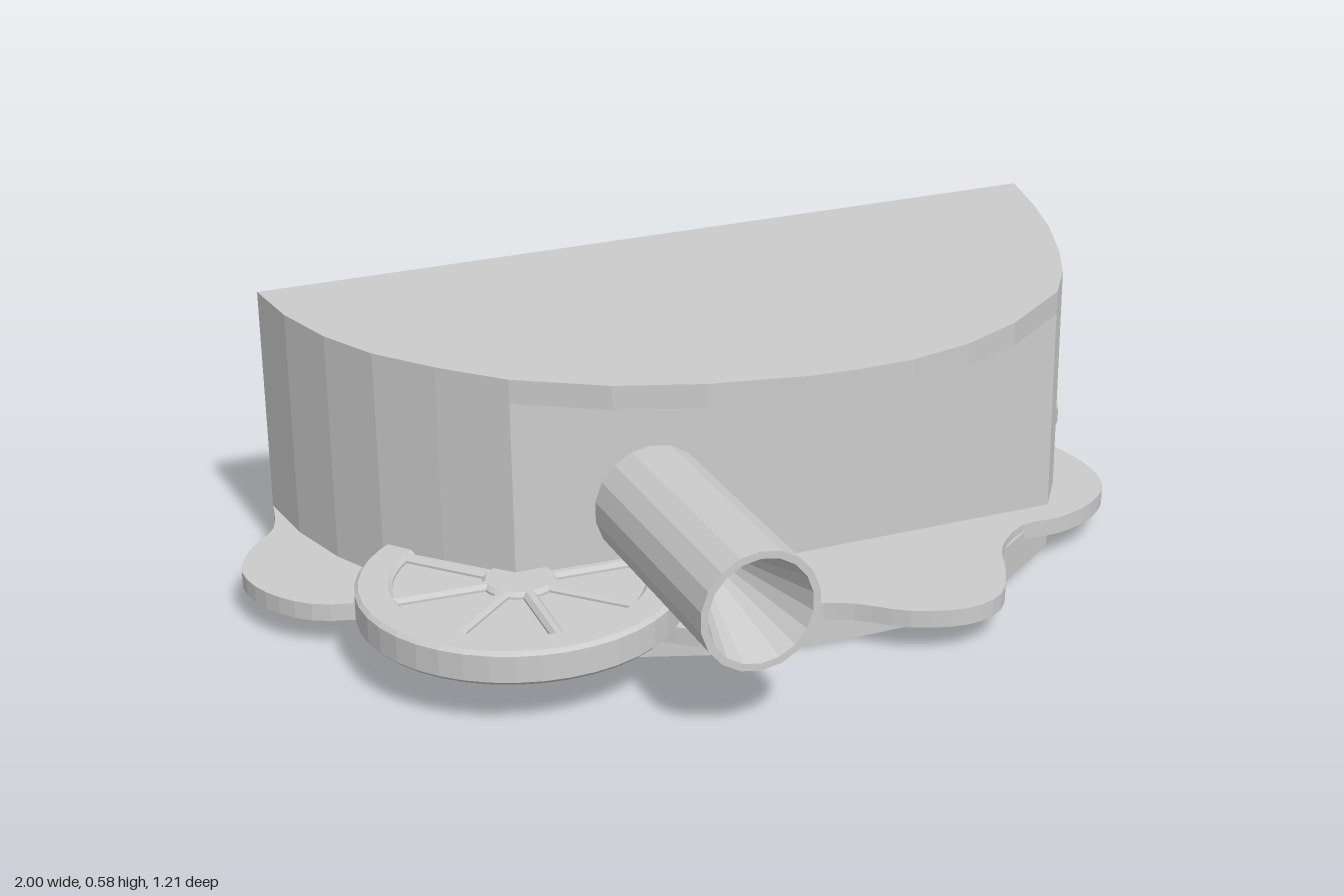
import * as THREE from 'three';

const mat = new THREE.MeshStandardMaterial({ color: 0xcccccc, flatShading: true });

// Plan outlines are [x, z] pairs; slabs are extruded upwards from y0 to y1
const toShape = (pts) => new THREE.Shape(pts.map(([x, z]) => new THREE.Vector2(x, -z)));

function slab(name, shape, y0, y1) {
  const geo = new THREE.ExtrudeGeometry(shape, { depth: y1 - y0, bevelEnabled: false, curveSegments: 8 });
  geo.rotateX(-Math.PI / 2).translate(0, y0, 0);
  const mesh = new THREE.Mesh(geo, mat);
  mesh.name = name;
  return mesh;
}

const BACK = -0.605, FACE = 0.07;

// Bowed front of the half-round body, from the -x end to the +x end
const leftArc = [[-0.855, BACK], [-0.84, -0.45], [-0.8, -0.3], [-0.74, -0.17], [-0.65, -0.05], [-0.54, FACE]];
const frontArc = [[-0.37, 0.18], [-0.2, 0.245], [0, 0.288], [0.1, 0.295], [0.22, 0.293], [0.36, 0.26], [0.5, 0.195]];
const rightArc = [[0.67, FACE], [0.74, -0.03], [0.8, -0.15], [0.86, -0.3], [0.905, -0.45], [0.94, BACK]];
const fullPlan = [...leftArc, ...frontArc, ...rightArc];

// Rectangular notch cut into the underside at the back edge
const notch = [[-0.32, BACK], [-0.32, -0.385], [-0.56, -0.385], [-0.56, BACK]];

function createBody() {
  const body = new THREE.Group();
  body.name = 'body';
  body.add(
    slab('notchedBase', toShape([...fullPlan, ...notch]), 0, 0.04),
    slab('base', toShape(fullPlan), 0.04, 0.08),
    slab('recessedCore', toShape([...leftArc, ...rightArc]), 0.08, 0.535),
    slab('roof', toShape(fullPlan), 0.535, 0.585),
  );
  return body;
}

// Thin leaf with a wavy edge that pokes out around the base
function createLeaf() {
  const edge = [
    [-0.855, BACK], [-0.885, -0.49], [-0.955, -0.41], [-1, -0.31], [-0.98, -0.2], [-0.91, -0.11],
    [-0.8, -0.07], [-0.68, -0.04], [-0.54, 0.08], [-0.37, 0.2], [-0.25, 0.31], [-0.16, 0.35], [-0.08, 0.31],
    [0, 0.295], [0.08, 0.33], [0.17, 0.405], [0.28, 0.44], [0.37, 0.41], [0.43, 0.32], [0.48, 0.215],
    [0.57, 0.14], [0.66, 0.138], [0.76, 0.1], [0.835, 0.02], [0.855, -0.1], [0.84, -0.24],
    [0.895, -0.33], [0.965, -0.4], [1, -0.5], [0.985, -0.56], [0.94, BACK],
  ];
  const curve = new THREE.SplineCurve(edge.map(([x, z]) => new THREE.Vector2(x, -z)));
  return slab('wavyLeaf', new THREE.Shape(curve.getPoints(90)), 0.06, 0.097);
}

// Round slice: rim and spokes around sunken wedge panels
function createSlice() {
  const R = 0.325, count = 8, pitch = (Math.PI * 2) / count;
  const shape = new THREE.Shape();
  shape.absarc(0, 0, R, 0, Math.PI * 2);
  for (let i = 0; i < count; i++) {
    const mid = (i + 0.5) * pitch;
    const hole = new THREE.Path();
    hole.absarc(0, 0, 0.25, mid - 0.34, mid + 0.34, false);
    hole.absarc(0, 0, 0.075, mid + 0.2, mid - 0.2, true);
    hole.closePath();
    shape.holes.push(hole);
  }
  const geo = new THREE.ExtrudeGeometry(shape, {
    depth: 0.055, bevelEnabled: true, bevelSize: 0.008, bevelOffset: -0.008,
    bevelThickness: 0.008, bevelSegments: 1, curveSegments: 20,
  });
  geo.rotateX(-Math.PI / 2).translate(0, -0.0275, 0);
  const rim = new THREE.Mesh(geo, mat);
  rim.name = 'sliceRimAndSpokes';
  const panel = new THREE.Mesh(new THREE.CylinderGeometry(0.29, 0.29, 0.045, 32), mat);
  panel.name = 'slicePanels';
  const slice = new THREE.Group();
  slice.name = 'roundSlice';
  slice.add(rim, panel);
  slice.position.set(-0.54, 0.138, 0.092);
  slice.rotation.y = -0.05;
  return slice;
}

// Tube sticking out of the recessed face, its mouth tapering inwards
function createTube() {
  const profile = [[0, 0], [0.123, 0], [0.123, 0.545], [0.108, 0.545], [0, 0.19]];
  const geo = new THREE.LatheGeometry(profile.map(([r, y]) => new THREE.Vector2(r, y)), 18);
  geo.rotateX(Math.PI / 2);
  const tube = new THREE.Mesh(geo, mat);
  tube.name = 'tube';
  tube.position.set(-0.247, 0.273, 0.06);
  return tube;
}

export function createModel() {
  const model = new THREE.Group();
  model.name = 'halfRoundSandwich';
  model.add(createBody(), createLeaf(), createSlice(), createTube());
  return model;
}
